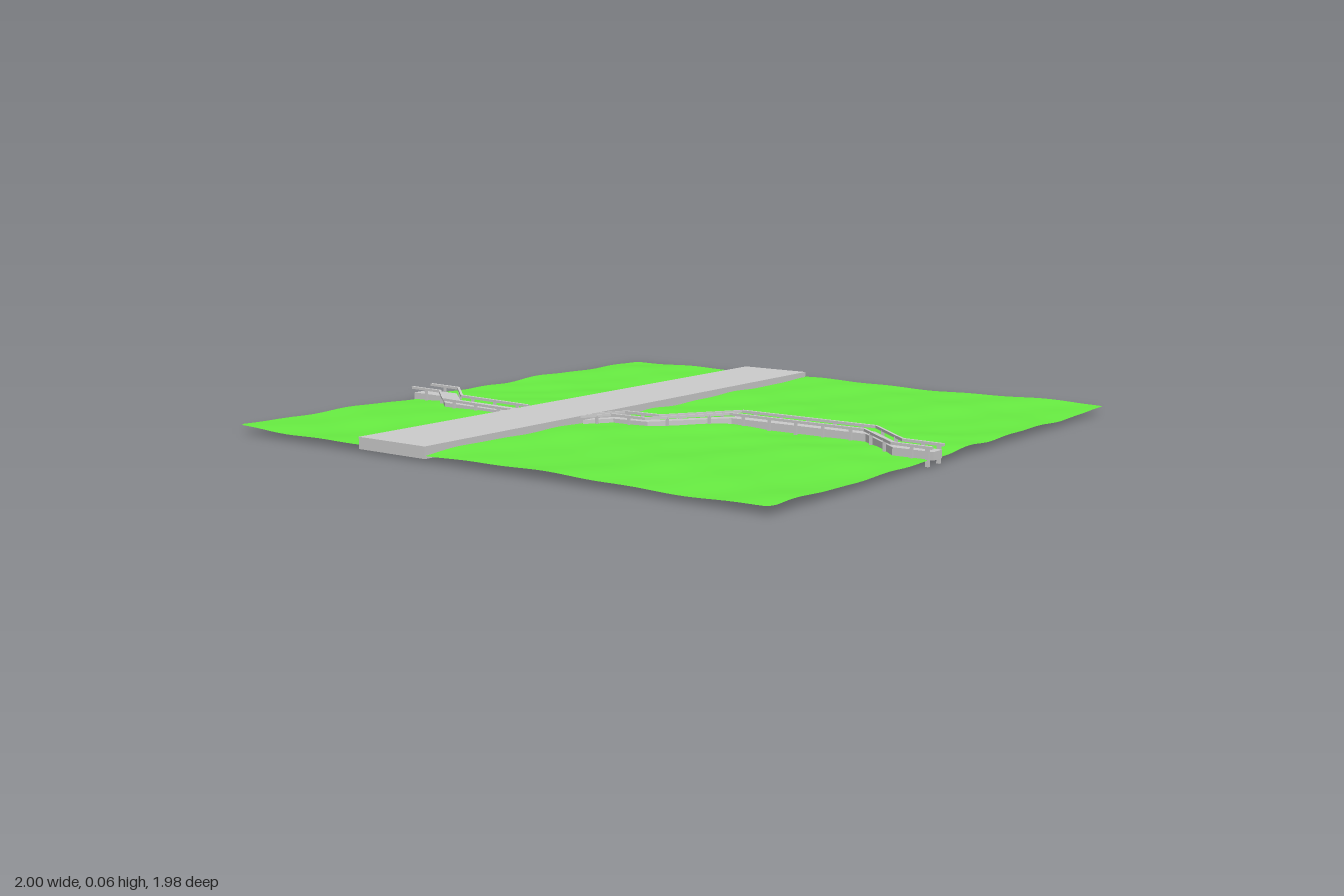
import * as THREE from 'three';

const grey = new THREE.MeshStandardMaterial({ color: 0xcccccc, side: THREE.DoubleSide });
const green = new THREE.MeshStandardMaterial({ color: 0x68ee42, side: THREE.DoubleSide });

// Gentle rolling height of the grass
function groundHeight(x, z) {
  const h = Math.sin(9 * x + 5 * z) * 0.35
    + Math.sin(14 * z - 6 * x + 1.3) * 0.35
    + Math.sin(21 * x + 17 * z + 2.1 * Math.sin(5 * z)) * 0.2
    + Math.sin(27 * z - 11 * x + 0.7) * 0.15;
  return 0.021 + 0.007 * h;
}

function makeGround() {
  const geo = new THREE.PlaneGeometry(1.98, 1.98, 90, 90).rotateX(-Math.PI / 2);
  const p = geo.attributes.position;
  const r = 0.03, inner = 0.99 - r;
  for (let i = 0; i < p.count; i++) {
    let x = p.getX(i), z = p.getZ(i);
    // round off the four corners
    const dx = Math.abs(x) - inner, dz = Math.abs(z) - inner;
    if (dx > 0 && dz > 0) {
      const k = Math.min(1, r / Math.hypot(dx, dz));
      x = Math.sign(x) * (inner + dx * k);
      z = Math.sign(z) * (inner + dz * k);
    }
    p.setXYZ(i, x, groundHeight(x, z), z - 0.005);
  }
  geo.computeVertexNormals();
  const mesh = new THREE.Mesh(geo, green);
  mesh.name = 'grass';
  return mesh;
}

// Sweep a rectangular bar along stations [x, zCentre, width, yBottom, yTop]
function bar(stations, name) {
  const pos = [];
  const ring = ([x, z, w, y0, y1]) =>
    [[x, y1, z - w / 2], [x, y1, z + w / 2], [x, y0, z + w / 2], [x, y0, z - w / 2]];
  const quad = (a, b, c, d) => pos.push(...a, ...b, ...c, ...a, ...c, ...d);
  const rings = stations.map(ring);
  for (let i = 0; i + 1 < rings.length; i++) {
    for (let j = 0; j < 4; j++) {
      const k = (j + 1) % 4;
      quad(rings[i][j], rings[i][k], rings[i + 1][k], rings[i + 1][j]);
    }
  }
  const e = rings[rings.length - 1], s = rings[0];
  quad(s[3], s[2], s[1], s[0]);
  quad(e[0], e[1], e[2], e[3]);
  const geo = new THREE.BufferGeometry();
  geo.setAttribute('position', new THREE.Float32BufferAttribute(pos, 3));
  geo.computeVertexNormals();
  const mesh = new THREE.Mesh(geo, grey);
  mesh.name = name;
  return mesh;
}

// Walkway with railings; points are [x, zBack, zFront, deckTop, railTop]
function makeWalkway(points, name) {
  const group = new THREE.Group();
  group.name = name;
  group.add(bar(points.map(([x, a, b, y]) => [x, (a + b) / 2, b - a, y - 0.024, y]), 'deck'));
  for (const side of [-1, 1]) {
    const railZ = ([, a, b]) => (side < 0 ? a - 0.009 : b + 0.006);
    group.add(bar(points.map((q) => [q[0], railZ(q), 0.011, q[4] - 0.008, q[4]]),
      side < 0 ? 'backRail' : 'frontRail'));
    // posts along every stretch
    for (let i = 0; i + 1 < points.length; i++) {
      const a = points[i], b = points[i + 1];
      const n = Math.max(1, Math.round((b[0] - a[0]) / 0.1));
      for (let j = 0; j < n; j++) {
        const t = (j + 0.5) / n;
        const top = a[4] + (b[4] - a[4]) * t - 0.004;
        const post = new THREE.Mesh(new THREE.BoxGeometry(0.008, top - 0.012, 0.008), grey);
        post.position.set(a[0] + (b[0] - a[0]) * t, (top + 0.012) / 2,
          railZ(a) + (railZ(b) - railZ(a)) * t);
        post.name = 'railPost';
        group.add(post);
      }
    }
  }
  return group;
}

export function createModel() {
  const model = new THREE.Group();
  model.add(makeGround());

  // Straight road slab
  const road = new THREE.Mesh(new THREE.BoxGeometry(0.268, 0.036, 1.96), grey);
  road.position.set(-0.311, 0.026, 0.006);
  road.name = 'road';
  model.add(road);

  // Walkways on both sides of the road
  model.add(makeWalkway([
    [-1, 0.152, 0.226, 0.036, 0.058],
    [-0.87, 0.152, 0.226, 0.035, 0.056],
    [-0.765, 0.243, 0.315, 0.033, 0.049],
    [-0.458, 0.252, 0.328, 0.031, 0.045],
  ], 'rightWalkway'));
  model.add(makeWalkway([
    [-0.166, 0.265, 0.315, 0.032, 0.048],
    [-0.11, 0.18, 0.235, 0.032, 0.049],
    [0.025, 0.18, 0.235, 0.035, 0.05],
    [0.22, 0.01, 0.062, 0.043, 0.061],
    [0.7, 0.01, 0.062, 0.043, 0.06],
    [0.87, 0.153, 0.203, 0.042, 0.059],
    [1, 0.153, 0.203, 0.042, 0.058],
  ], 'leftWalkway'));

  // Tall end posts that reach the base
  for (const z of [0.144, 0.209]) {
    const post = new THREE.Mesh(new THREE.BoxGeometry(0.01, 0.054, 0.01), grey);
    post.position.set(0.985, 0.027, z);
    post.name = 'endPost';
    model.add(post);
  }
  return model;
}
